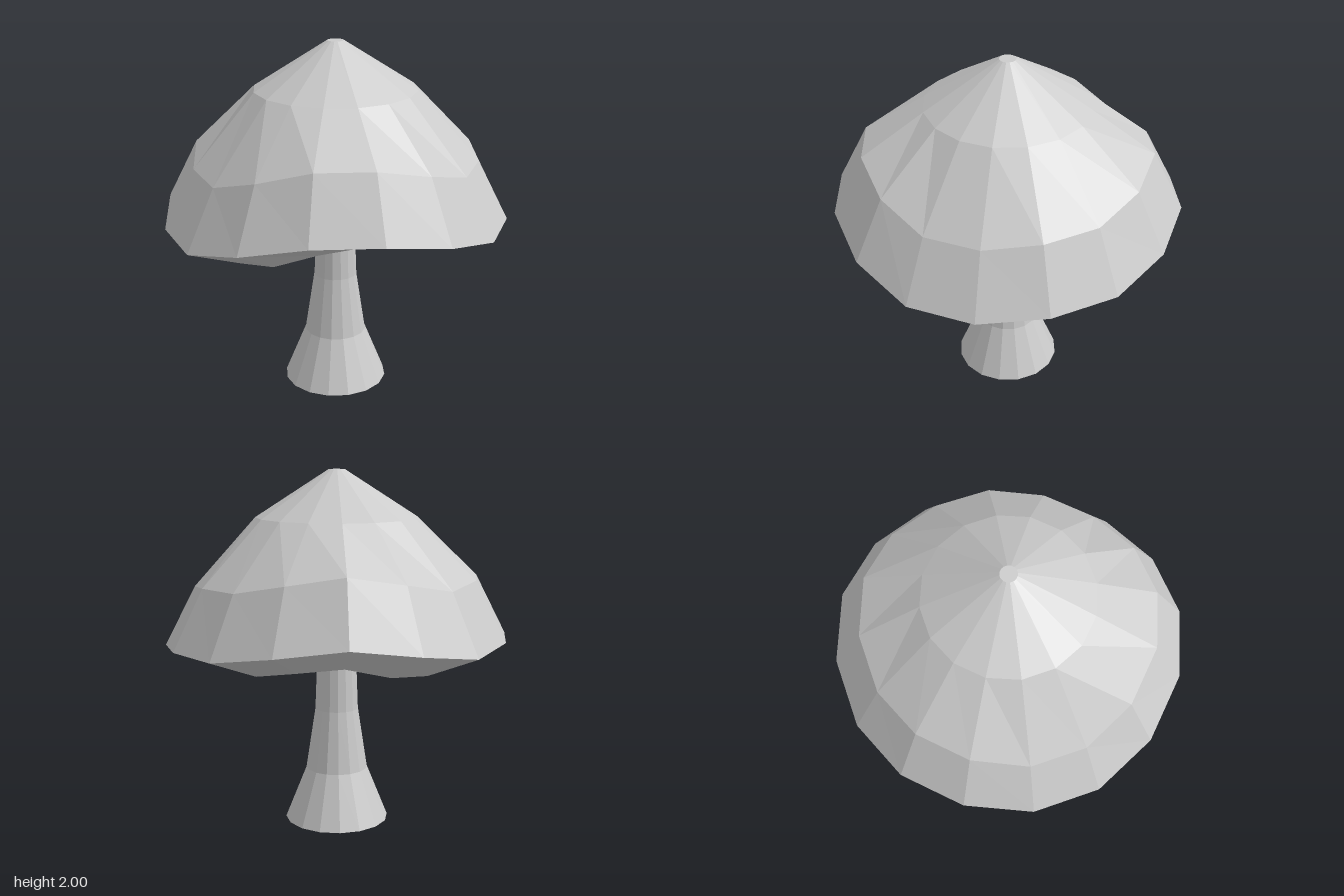
import * as THREE from 'three';

const SIDES = 16;

// Skins a list of rings, top to bottom; each ring is { r, y } with y a number or a height per side.
function loft(rings, material, name) {
  const pos = [], idx = [];
  for (const { r, y } of rings) {
    for (let i = 0; i < SIDES; i++) {
      const a = (i / SIDES) * Math.PI * 2;
      pos.push(r * Math.cos(a), Array.isArray(y) ? y[i] : y, r * Math.sin(a));
    }
  }
  for (let k = 0; k < rings.length - 1; k++) {
    for (let i = 0; i < SIDES; i++) {
      const j = (i + 1) % SIDES;
      const a = k * SIDES + i, b = k * SIDES + j, c = a + SIDES, d = b + SIDES;
      idx.push(a, b, c, b, d, c);
    }
  }
  const geo = new THREE.BufferGeometry();
  geo.setAttribute('position', new THREE.Float32BufferAttribute(pos, 3));
  geo.setIndex(idx);
  const flat = geo.toNonIndexed();
  flat.computeVertexNormals();
  const mesh = new THREE.Mesh(flat, material);
  mesh.name = name;
  return mesh;
}

export function createModel() {
  const group = new THREE.Group();
  group.name = 'mushroom';
  const material = new THREE.MeshStandardMaterial({ color: 0xcccccc, flatShading: true });

  // Wavy heights of the rim and of the underside lip, starting at +x and turning towards +z
  const rim = [1.07, 1.06, 1.03, 1.03, 1.11, 1.18, 1.18, 1.09, 1.0, 1.01, 1.08, 1.09, 1.07, 1.13, 1.18, 1.13];
  const lip = [0.945, 0.96, 0.97, 0.99, 1.03, 1.06, 1.02, 0.92, 0.87, 0.88, 0.935, 0.94, 0.935, 0.96, 1.02, 0.99];

  // Cap: dome, rim, turned-in lip and hollow underside
  group.add(loft([
    { r: 0, y: 2 },
    { r: 0.045, y: 2 },
    { r: 0.45, y: 1.74 },
    { r: 0.79, y: rim.map((h) => h + 0.33) },
    { r: 0.96, y: rim },
    { r: 0.64, y: lip },
    { r: 0.08, y: 1.4 },
  ], material, 'cap'));

  // Stem: flared foot with a closed base
  group.add(loft([
    { r: 0.1, y: 1.4 },
    { r: 0.108, y: 1.03 },
    { r: 0.122, y: 0.65 },
    { r: 0.175, y: 0.3 },
    { r: 0.295, y: 0 },
    { r: 0, y: 0 },
  ], material, 'stem'));

  return group;
}
